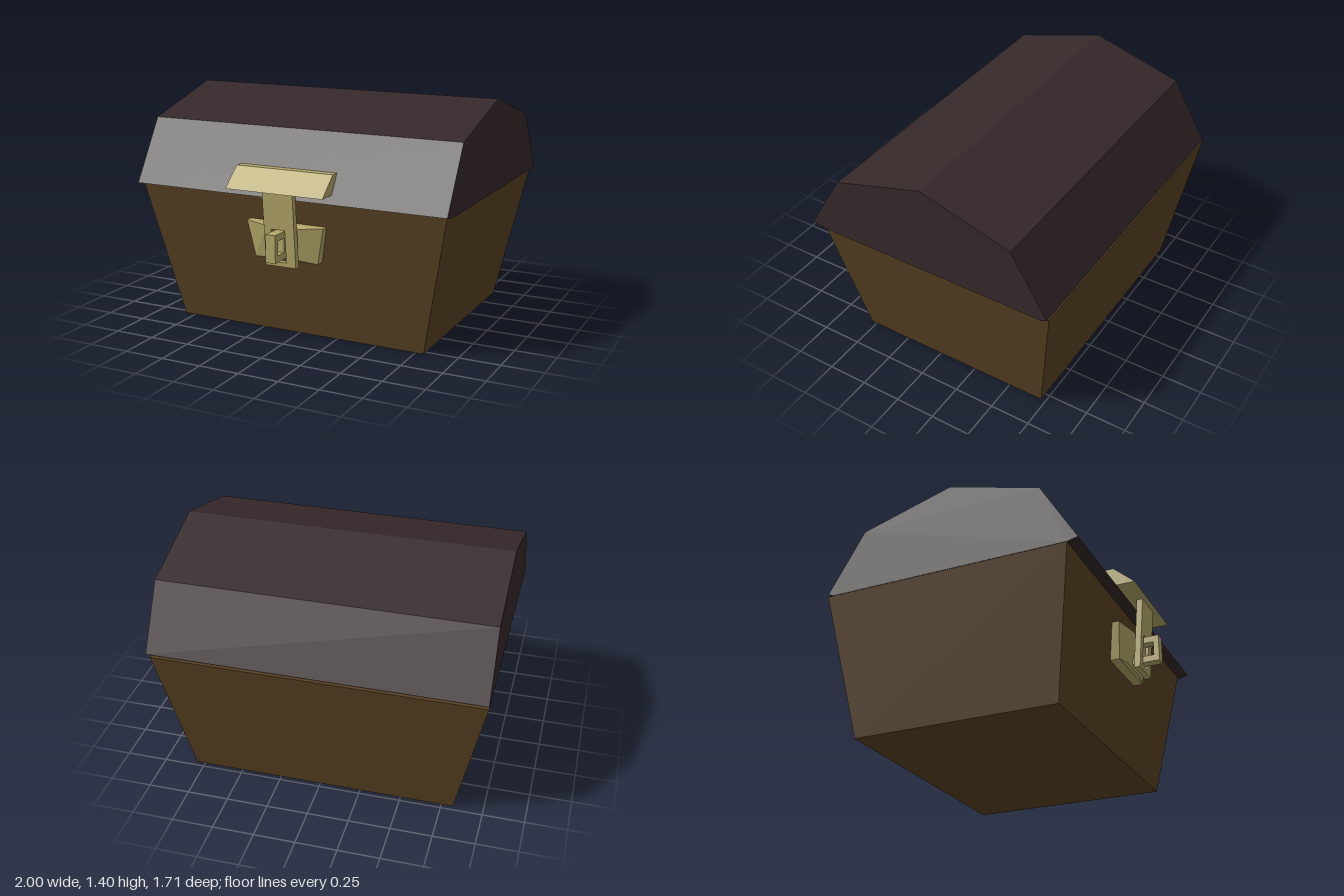
import * as THREE from 'three';
import { ConvexGeometry } from 'three/addons/geometries/ConvexGeometry.js';

const wood = new THREE.MeshStandardMaterial({ color: 0x5a4223 });
wood.name = 'brown wood';
const darkWood = new THREE.MeshStandardMaterial({ color: 0x35282a });
darkWood.name = 'dark lid wood';
const brass = new THREE.MeshStandardMaterial({ color: 0xb4a769 });
brass.name = 'dull brass';

const v2 = (pairs) => pairs.map(([a, b]) => new THREE.Vector2(a, b));

// Side profile given as [z, y], swept from x0 to x1
function sweepX(profile, x0, x1, hole) {
  const shape = new THREE.Shape(v2(profile));
  if (hole) shape.holes.push(new THREE.Path(v2(hole)));
  const geo = new THREE.ExtrudeGeometry(shape, { depth: x1 - x0, bevelEnabled: false });
  return geo.rotateY(-Math.PI / 2).translate(x1, 0, 0);
}

const rect = (a0, b0, a1, b1) => [[a0, b0], [a1, b0], [a1, b1], [a0, b1]];

// Flat-faced solid spanning a few corner points
const solid = (points) => new ConvexGeometry(points.map((p) => new THREE.Vector3(...p)));

export function createModel() {
  const model = new THREE.Group();
  model.name = 'chest';
  const add = (name, geo, material) => {
    const mesh = new THREE.Mesh(geo, material);
    mesh.name = name;
    model.add(mesh);
  };

  // Tapered body
  const ring = (y, x0, x1, z0, z1) => rect(x0, z0, x1, z1).map(([x, z]) => [x, y, z]);
  add('body', solid([
    ...ring(0, -0.82, 0.80, -0.72, 0.535),
    ...ring(0.85, -1, 0.975, -0.855, 0.67),
  ]), wood);

  // Faceted lid with a slightly undercut rim
  add('lid', sweepX([
    [0.67, 0.852], [0.735, 0.867], [0.51, 1.24], [-0.06, 1.404],
    [-0.63, 1.24], [-0.855, 0.867], [-0.82, 0.852],
  ], -1, 1), darkWood);

  // Wedge-shaped hinge block on the lid
  add('claspHinge', sweepX([
    [0.82, 0.915], [0.69, 1.03], [0.63, 1.03], [0.69, 0.915],
  ], -0.325, 0.3), brass);

  // Slotted strap, leaning in toward the body at its lower end
  const strapShape = new THREE.Shape(v2(rect(-0.1, 0.473, 0.095, 0.925)));
  strapShape.holes.push(new THREE.Path(v2(rect(-0.055, 0.5, 0.035, 0.695))));
  const strap = new THREE.ExtrudeGeometry(strapShape, { depth: 0.037, bevelEnabled: false });
  const pos = strap.attributes.position;
  for (let i = 0; i < pos.count; i++) {
    pos.setZ(i, pos.getZ(i) + 0.718 + (pos.getY(i) - 0.473) * 0.08);
  }
  strap.computeVertexNormals();
  add('claspStrap', strap, brass);

  // Lock plate with swept-back wings
  const cx = -0.012;
  const platePoints = [];
  for (const s of [-1, 1]) {
    platePoints.push(
      [cx + s * 0.1, 0.7, 0.728], [cx + s * 0.1, 0.5, 0.685],
      [cx + s * 0.25, 0.71, 0.69], [cx + s * 0.205, 0.488, 0.67],
      [cx + s * 0.25, 0.71, 0.63], [cx + s * 0.205, 0.488, 0.6],
    );
  }
  add('lockPlate', solid(platePoints), brass);

  // Square staple loop poking through the strap
  add('stapleLoop', sweepX(
    rect(0.69, 0.52, 0.858, 0.685), -0.043, 0.02, rect(0.755, 0.56, 0.825, 0.645),
  ), brass);

  return model;
}
